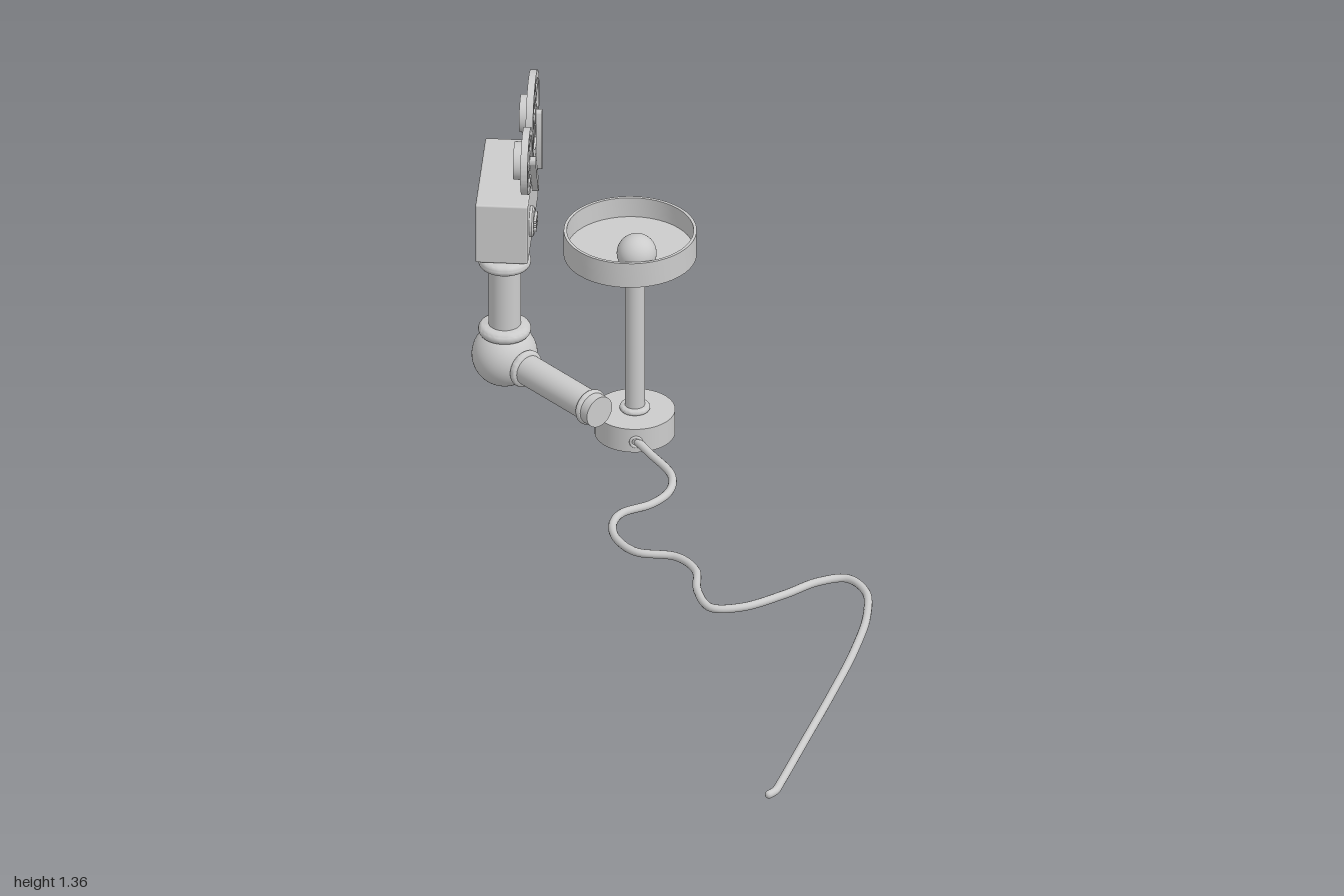
import * as THREE from 'three';
import { toCreasedNormals } from 'three/addons/utils/BufferGeometryUtils.js';
import { RoundedBoxGeometry } from 'three/addons/geometries/RoundedBoxGeometry.js';

const material = new THREE.MeshStandardMaterial({ color: 0xcccccc });

function add(parent, name, geometry, x = 0, y = 0, z = 0) {
  const mesh = new THREE.Mesh(geometry, material);
  mesh.name = name;
  mesh.position.set(x, y, z);
  parent.add(mesh);
  return mesh;
}

function group(parent, name, x, y, z) {
  const g = new THREE.Group();
  g.name = name;
  g.position.set(x, y, z);
  parent.add(g);
  return g;
}

// Upright cylinder given by its bottom and top heights
function post(parent, name, r, y0, y1) {
  return add(parent, name, new THREE.CylinderGeometry(r, r, y1 - y0, 48), 0, (y0 + y1) / 2, 0);
}

// Turned solid from [radius, height] pairs, with sharp edges kept
function turned(parent, name, profile) {
  const points = profile.map(([r, y]) => new THREE.Vector2(r, y));
  return add(parent, name, toCreasedNormals(new THREE.LatheGeometry(points, 48), 0.6));
}

// Flange with a rounded rim
function collar(parent, name, r, y, half) {
  const profile = [[0, y - half]];
  for (let i = 0; i <= 8; i++) {
    const a = -Math.PI / 2 + (Math.PI * i) / 8;
    profile.push([r - half + half * Math.cos(a), y + half * Math.sin(a)]);
  }
  profile.push([0, y + half]);
  return turned(parent, name, profile);
}

// Flat strap with round ends, from (0, 0) to (dx, dy)
function strap(dx, dy, w, depth) {
  const length = Math.hypot(dx, dy);
  const shape = new THREE.Shape();
  shape.absarc(0, 0, w, Math.PI / 2, Math.PI * 1.5, false);
  shape.absarc(length, 0, w, -Math.PI / 2, Math.PI / 2, false);
  return new THREE.ExtrudeGeometry(shape, { depth, bevelEnabled: false, curveSegments: 12 })
    .rotateZ(Math.atan2(dy, dx));
}

// Spoked reel whose axis runs along x; local x points to the back
function reel(parent, name, y, z, r, armX, armY) {
  const g = group(parent, name, -0.397, y, z);
  g.rotation.y = Math.PI / 2;
  const rim = new THREE.Shape().absarc(0, 0, r, 0, Math.PI * 2, false);
  rim.holes.push(new THREE.Path().absarc(0, 0, r - 0.02, 0, Math.PI * 2, true));
  const rimGeometry = new THREE.ExtrudeGeometry(rim, { depth: 0.019, bevelEnabled: false, curveSegments: 48 });
  add(g, 'reelRim', toCreasedNormals(rimGeometry, 0.6));
  for (let i = 0; i < 8; i++) {
    const a = (i * Math.PI) / 4 + Math.PI / 8;
    const d = (r - 0.01) / 2;
    const spoke = add(g, 'reelSpoke', new THREE.BoxGeometry(r - 0.01, 0.011, 0.013),
      Math.cos(a) * d, Math.sin(a) * d, 0.0095);
    spoke.rotation.z = a;
  }
  add(g, 'reelHub', new THREE.CylinderGeometry(0.027, 0.027, 0.019, 32).rotateX(Math.PI / 2), 0, 0, 0.0095);
  add(g, 'reelBackDisc', new THREE.CylinderGeometry(0.05, 0.05, 0.022, 40).rotateX(Math.PI / 2), 0, 0, -0.011);
  add(g, 'reelArm', toCreasedNormals(strap(armX, armY, 0.012, 0.016), 0.6), 0, 0, 0.019);
}

function buildStand(root) {
  const stand = group(root, 'stand', -0.158, 0, -0.827);
  post(stand, 'standBase', 0.105, 0.014, 0.083);
  collar(stand, 'lowerCollar', 0.04, 0.09, 0.008);
  post(stand, 'standPole', 0.026, 0.08, 0.555);
  collar(stand, 'upperCollar', 0.04, 0.545, 0.008);
  // Shallow open tray
  const tray = turned(stand, 'tray',
    [[0, 0.55], [0.173, 0.55], [0.173, 0.622], [0.165, 0.622], [0.165, 0.565], [0, 0.565]]);
  tray.position.x = -0.012;
  add(root, 'ball', new THREE.SphereGeometry(0.052, 40, 24), -0.145, 0.617, -0.72);
}

function buildCord(root) {
  const path = [
    [-0.152, -0.74, 0.045], [-0.11, -0.685, 0.037], [-0.045, -0.595, 0.025], [-0.045, -0.526, 0.017],
    [-0.087, -0.468], [-0.161, -0.415], [-0.18, -0.352], [-0.161, -0.278], [-0.108, -0.22],
    [-0.003, -0.204], [0.052, -0.14], [0.066, -0.034], [0.108, 0.05], [0.188, 0.04],
    [0.294, -0.034], [0.373, -0.103], [0.447, -0.127], [0.5, -0.066], [0.514, 0.056],
    [0.495, 0.24], [0.452, 0.47], [0.4, 0.717], [0.355, 0.93], [0.345, 0.97], [0.33, 0.99],
  ].map(([x, z, y = 0.011]) => new THREE.Vector3(x, y, z));
  const curve = new THREE.CatmullRomCurve3(path);
  add(root, 'cord', new THREE.TubeGeometry(curve, 240, 0.011, 12, false));
  add(root, 'cordEnd', new THREE.SphereGeometry(0.011, 12, 8), 0.33, 0.011, 0.99);
  // Socket where the cord enters the base
  const socket = add(root, 'cordSocket', new THREE.TorusGeometry(0.014, 0.004, 8, 24), -0.147, 0.045, -0.723);
  socket.rotation.y = 0.1;
}

function buildPipe(root) {
  const pipe = group(root, 'pipe', -0.442, 0.663, -0.104);
  add(pipe, 'elbowBall', new THREE.SphereGeometry(0.086, 48, 32));
  // Upright part carrying the projector
  post(pipe, 'column', 0.042, 0.05, 0.29);
  collar(pipe, 'columnLowerRing', 0.069, 0.076, 0.0165);
  collar(pipe, 'columnUpperRing', 0.069, 0.281, 0.0155);
  // Level part pointing diagonally forward
  const arm = group(pipe, 'sideArm', 0, -0.008, 0);
  arm.quaternion.setFromUnitVectors(new THREE.Vector3(0, 1, 0), new THREE.Vector3(1, 0, 1).normalize());
  post(arm, 'armTube', 0.041, 0.04, 0.375);
  collar(arm, 'armInnerRing', 0.051, 0.085, 0.011);
  collar(arm, 'armOuterRing', 0.049, 0.343, 0.009);
  post(arm, 'armEndCap', 0.043, 0.35, 0.378);
}

function buildProjector(root) {
  const projector = group(root, 'projector', 0, 0, 0);
  add(projector, 'projectorBody', new RoundedBoxGeometry(0.137, 0.173, 0.348, 3, 0.005), -0.4465, 1.0475, -0.23);
  // Lens flaring toward the back
  const lens = turned(projector, 'lens', [
    [0, 0], [0.042, 0], [0.042, 0.012], [0.022, 0.014], [0.022, 0.03],
    [0.026, 0.032], [0.035, 0.076], [0.029, 0.076], [0.02, 0.05], [0, 0.05],
  ]);
  lens.position.set(-0.455, 1.047, -0.403);
  lens.rotation.x = -Math.PI / 2;
  // Round side knob with grip bars
  const knob = group(projector, 'sideKnob', -0.38, 1.046, -0.135);
  knob.rotation.z = -Math.PI / 2;
  turned(knob, 'knobDisc', [[0, 0], [0.041, 0], [0.041, 0.009], [0.037, 0.013], [0, 0.013]]);
  for (const x of [-0.013, 0, 0.013]) {
    add(knob, 'knobBar', new THREE.BoxGeometry(0.006, 0.012, 0.054), x, 0.014, 0);
  }
  reel(projector, 'largeReel', 1.25, -0.34, 0.114, 0.004, -0.155);
  reel(projector, 'smallReel', 1.23, -0.131, 0.088, 0.088, -0.128);
}

export function createModel() {
  const root = new THREE.Group();
  root.name = 'projectorScene';
  buildStand(root);
  buildCord(root);
  buildPipe(root);
  buildProjector(root);
  return root;
}
